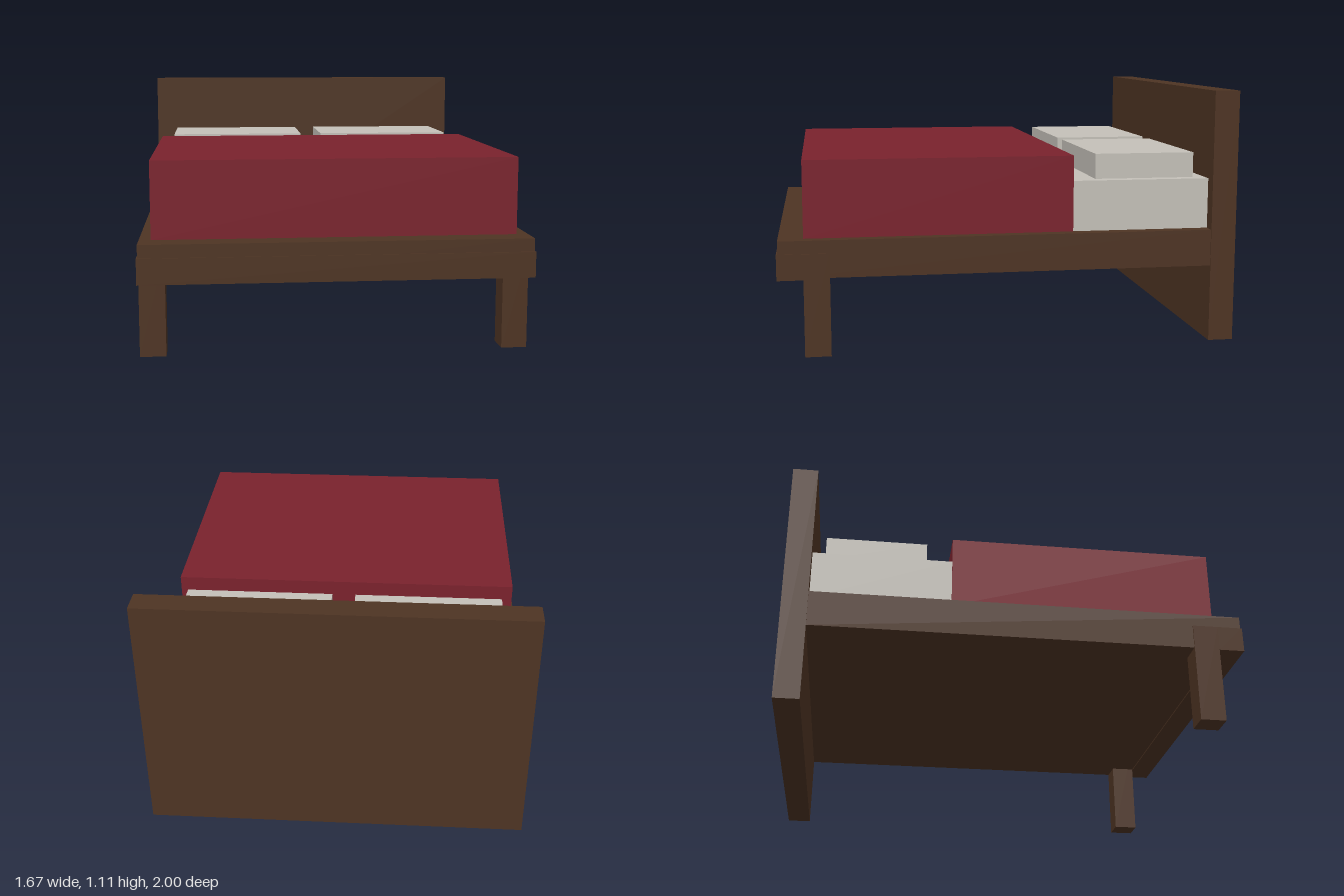
import * as THREE from 'three';

const material = (name, color) => {
  const m = new THREE.MeshStandardMaterial({ color });
  m.name = name;
  return m;
};

export function createModel() {
  const wood = material('dark wood', 0x4e3423);
  const linen = material('linen', 0xc5c1b9);
  const red = material('red blanket', 0x7a222d);
  const bed = new THREE.Group();
  bed.name = 'bed';

  // Box given by its min and max on each axis
  const box = (name, mat, [x0, x1], [y0, y1], [z0, z1]) => {
    const mesh = new THREE.Mesh(new THREE.BoxGeometry(x1 - x0, y1 - y0, z1 - z0), mat);
    mesh.position.set((x0 + x1) / 2, (y0 + y1) / 2, (z0 + z1) / 2);
    mesh.name = name;
    bed.add(mesh);
  };

  // Wooden frame
  box('headboard', wood, [-0.833, 0.833], [0, 1.111], [-1, -0.889]);
  box('bedFrame', wood, [-0.828, 0.828], [0.339, 0.5], [-0.889, 0.994]);
  box('footRail', wood, [-0.833, 0.833], [0.333, 0.444], [0.889, 1]);

  // Bedding
  box('mattress', linen, [-0.774, 0.774], [0.5, 0.722], [-0.889, -0.278]);
  box('blanket', red, [-0.778, 0.778], [0.5, 0.833], [-0.278, 0.887]);

  // Mirrored front legs and pillows
  for (const [side, s] of [['left', 1], ['right', -1]]) {
    const span = (a, b) => (s > 0 ? [a, b] : [-b, -a]);
    box(side + 'FrontLeg', wood, span(0.722, 0.833), [0, 0.444], [0.778, 0.889]);
    box(side + 'Pillow', linen, span(0.053, 0.722), [0.722, 0.833], [-0.835, -0.388]);
  }
  return bed;
}
